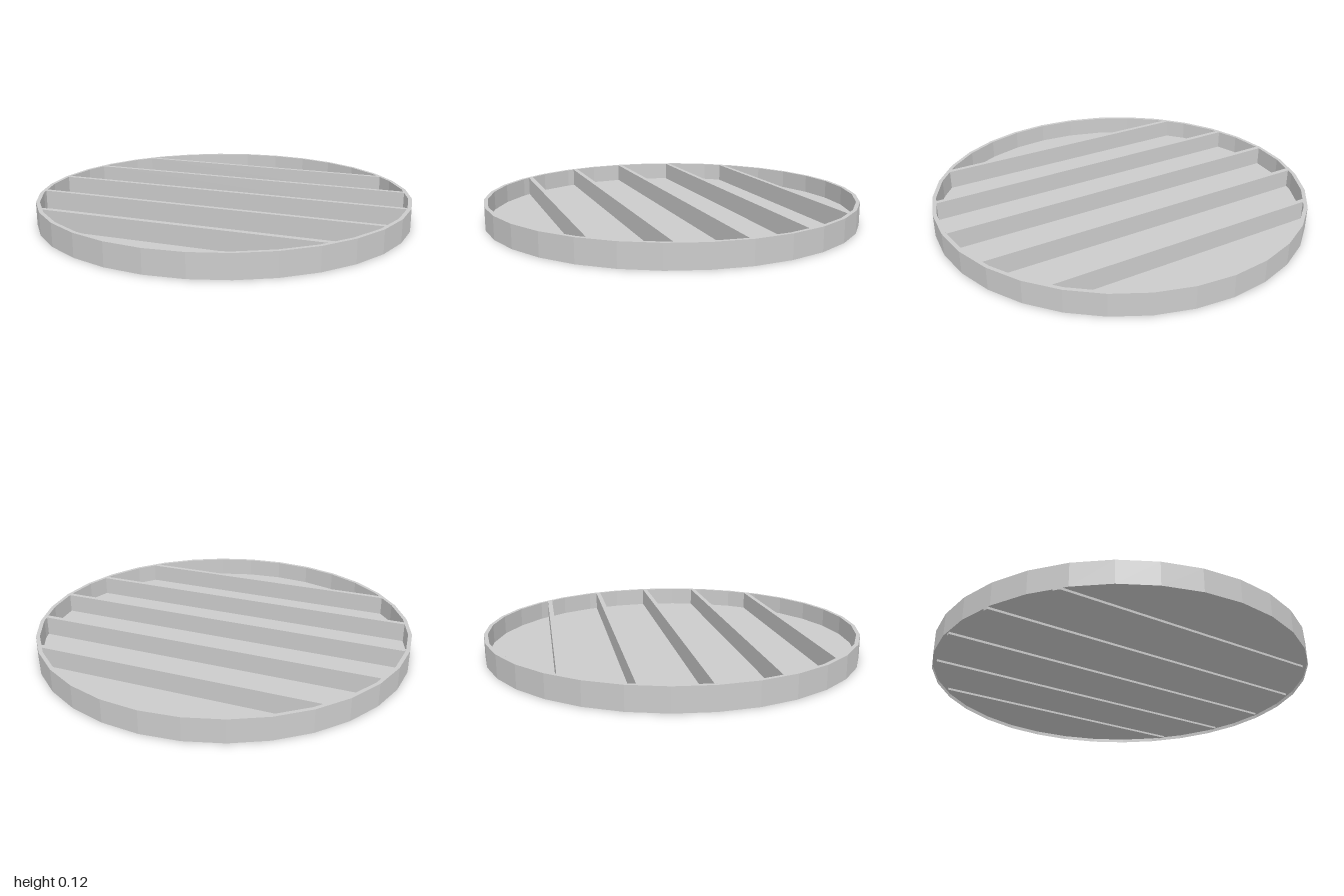
import * as THREE from 'three';

const SIDES = 32, OUTER = 1, INNER = 0.98, HEIGHT = 0.12, FLOOR = 0.02;

// Half-width (x) of the inner polygon at depth z
function halfWidth(z) {
  const step = (Math.PI * 2) / SIDES;
  const k = Math.floor(Math.acos(z / INNER) / step);
  const z0 = INNER * Math.cos(k * step), z1 = INNER * Math.cos((k + 1) * step);
  const x0 = INNER * Math.sin(k * step), x1 = INNER * Math.sin((k + 1) * step);
  return x0 + ((x1 - x0) * (z - z0)) / (z1 - z0);
}

export function createModel() {
  const group = new THREE.Group();
  group.name = 'slattedTray';
  const material = new THREE.MeshStandardMaterial({
    color: 0xcccccc, flatShading: true, side: THREE.DoubleSide,
  });

  // Faceted rim: inner wall, flat lip, outer wall
  const profile = [[INNER, FLOOR], [INNER, HEIGHT], [OUTER, HEIGHT], [OUTER, 0]]
    .map(([r, y]) => new THREE.Vector2(r, y));
  const rim = new THREE.Mesh(new THREE.LatheGeometry(profile, SIDES), material);
  rim.name = 'rim';
  group.add(rim);

  // Floor plate, raised slightly above the rim's lower edge
  const floorGeo = new THREE.CircleGeometry(OUTER, SIDES).rotateX(-Math.PI / 2);
  const floor = new THREE.Mesh(floorGeo, material);
  floor.name = 'floor';
  floor.position.y = FLOOR;
  group.add(floor);

  // Five parallel slats, their ends cut to meet the rim
  const thick = 0.026, bottom = 0.008;
  for (let i = -2; i <= 2; i++) {
    const z = i * 0.321 + 0.003;
    const za = z - thick / 2, zb = z + thick / 2;
    const a = halfWidth(za), b = halfWidth(zb);
    const shape = new THREE.Shape([
      new THREE.Vector2(-b, -zb), new THREE.Vector2(b, -zb),
      new THREE.Vector2(a, -za), new THREE.Vector2(-a, -za),
    ]);
    const geo = new THREE.ExtrudeGeometry(shape, { depth: HEIGHT - bottom, bevelEnabled: false });
    geo.rotateX(-Math.PI / 2).translate(0, bottom, 0);
    const slat = new THREE.Mesh(geo, material);
    slat.name = `slat${i + 3}`;
    group.add(slat);
  }
  return group;
}
